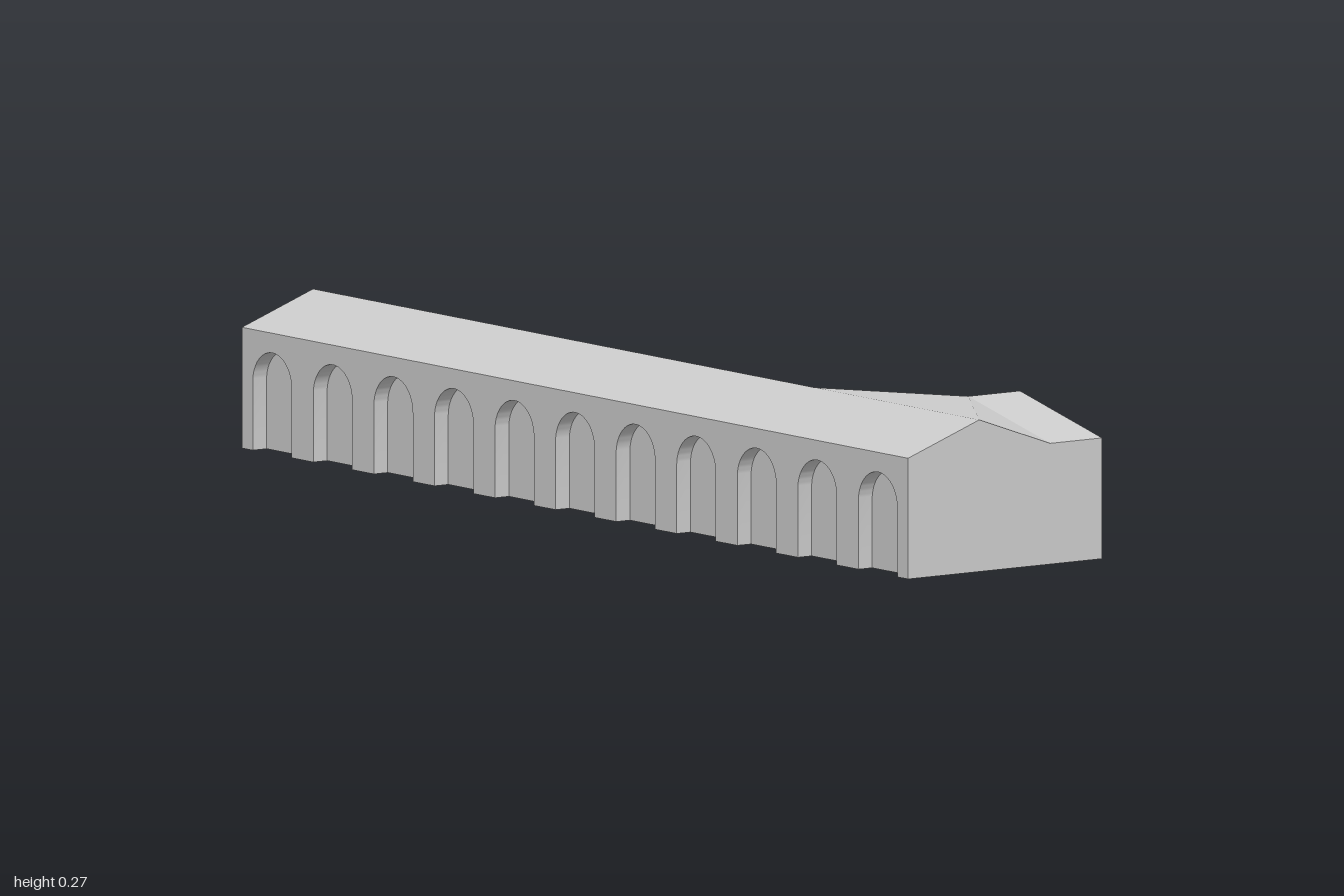
import * as THREE from 'three';
import { toCreasedNormals } from 'three/addons/utils/BufferGeometryUtils.js';

const L = 1.988, W = 0.31;             // main hall length and width
const EAVE = 0.215, RIDGE = 0.27;      // roof heights
const WING_W = 0.49, WING_OUT = 0.423; // wing width, and reach measured from the arcade face
const BAYS = 11, DEPTH = 0.03;         // arcade bays and recess depth
const ARCH_R = 0.058, SPRING = 0.122;

const material = new THREE.MeshStandardMaterial({ color: 0xcccccc });

function addPart(parent, name, geometry) {
  const mesh = new THREE.Mesh(geometry, material);
  mesh.name = name;
  parent.add(mesh);
}

function extrude(shape, depth) {
  return new THREE.ExtrudeGeometry(shape, { depth, bevelEnabled: false, curveSegments: 16 });
}

function polygon(points) {
  return new THREE.Shape(points.map(([x, y]) => new THREE.Vector2(x, y)));
}

export function createModel() {
  const group = new THREE.Group();
  group.name = 'arcadedHall';

  // Local frame: origin at the front corner of the arcade, hall running toward -z
  const building = new THREE.Group();
  building.name = 'building';
  building.position.set(-0.161, 0, 1);
  building.rotation.y = 0.0504;
  group.add(building);

  // Hall with gabled roof, set back under the eave behind the arcade
  const hall = extrude(polygon([
    [DEPTH, 0], [W, 0], [W, EAVE], [W / 2, RIDGE], [0, EAVE], [DEPTH, EAVE],
  ]), L);
  hall.translate(0, 0, -L);
  addPart(building, 'hall', hall);

  // Arcade: one wall outline with round-arched bays open to the ground
  const pitch = L / BAYS;
  const wall = new THREE.Shape();
  wall.moveTo(0, 0);
  for (let i = 0; i < BAYS; i++) {
    const c = (i + 0.5) * pitch;
    wall.lineTo(c - ARCH_R, 0);
    wall.lineTo(c - ARCH_R, SPRING);
    wall.absarc(c, SPRING, ARCH_R, Math.PI, 0, true);
    wall.lineTo(c + ARCH_R, 0);
  }
  wall.lineTo(L, 0);
  wall.lineTo(L, EAVE);
  wall.lineTo(0, EAVE);
  const arcade = extrude(wall, DEPTH);
  arcade.rotateY(Math.PI / 2);
  addPart(building, 'arcade', toCreasedNormals(arcade, 0.5));

  // Side wing with its own gable
  const wing = extrude(polygon([
    [0, 0], [WING_W, 0], [WING_W, EAVE], [WING_W / 2, RIDGE], [0, EAVE],
  ]), WING_OUT - W);
  wing.rotateY(Math.PI / 2);
  wing.translate(W, 0, 0);
  addPart(building, 'wing', wing);

  // Roof joining the hall ridge to the wing ridge
  const A = [W / 2, RIDGE, 0], B = [W, EAVE, 0];
  const D = [W, RIDGE, -WING_W / 2];
  const A2 = [W / 2, RIDGE, -WING_W], B2 = [W, EAVE, -WING_W];
  const joint = new THREE.BufferGeometry();
  joint.setAttribute('position', new THREE.Float32BufferAttribute(
    [A, B, D, A, D, A2, D, B2, A2].flat(), 3));
  joint.computeVertexNormals();
  addPart(building, 'roofJoint', joint);

  return group;
}
